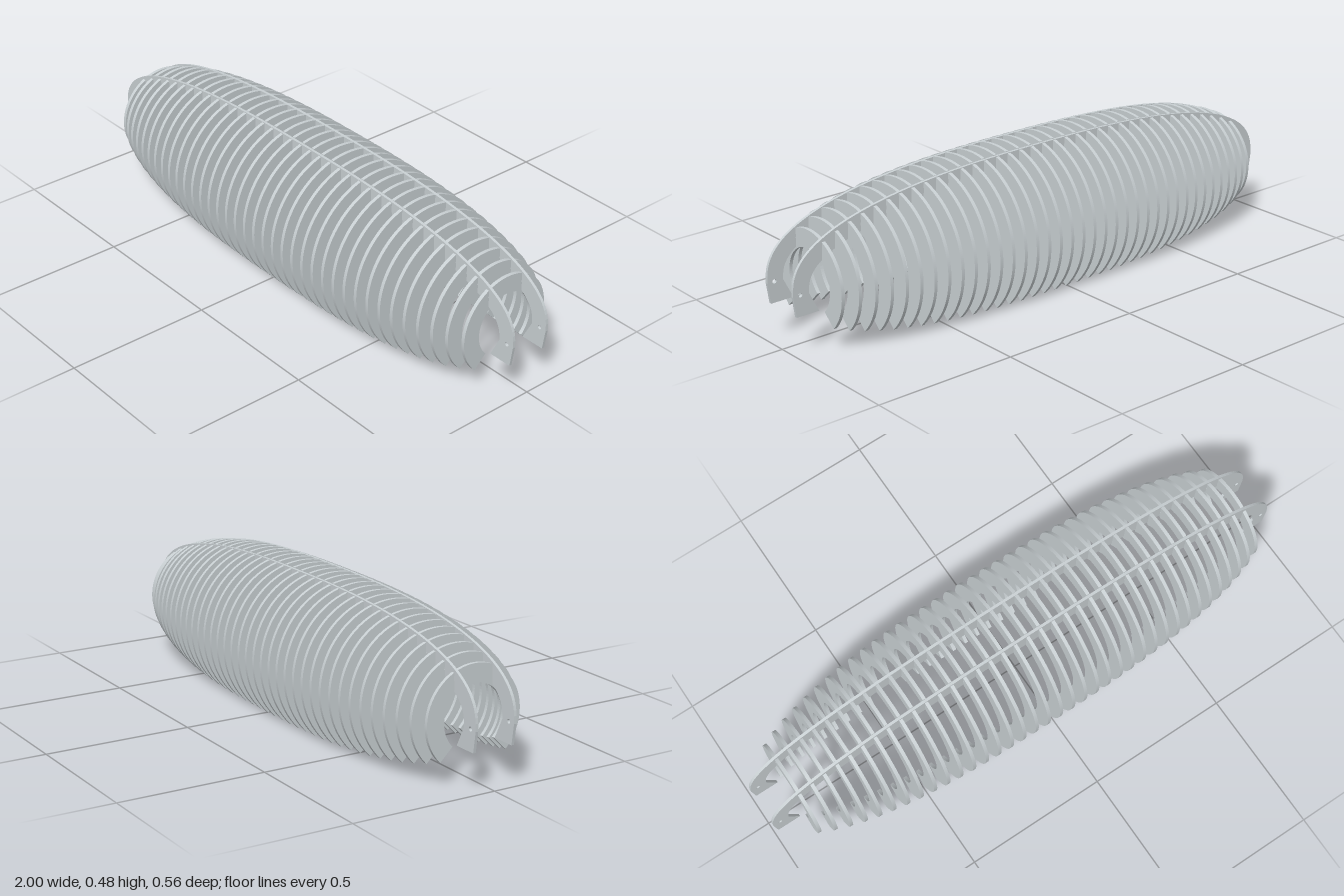
import * as THREE from 'three';

const AXIS_Y = 0.198;   // height of the shared rib axis
const POWER = 2.6;      // superellipse exponent of the long profile
const RAIL_THICK = 0.0095;
const RIB_THICK = 0.012;
const RAIL_Z = 0.07;
const SLOT_HALF = 0.0058;
const RIBS = 37;
const RIB_SPAN = 0.883;

// Half-height of a superellipse with half-length a and half-height b
const profile = (x, a, b) => b * Math.pow(Math.max(0, 1 - Math.pow(Math.abs(x) / a, POWER)), 1 / POWER);

// Extrude a flat shape, centred on its own thickness
function sheet(shape, depth, curveSegments) {
  const geo = new THREE.ExtrudeGeometry(shape, { depth, bevelEnabled: false, curveSegments });
  return geo.translate(0, 0, -depth / 2);
}

// Ring with a quarter cut out at the bottom and two slots for the rails on top
function ribGeometry(outer, inner, slotFloor) {
  const start = -Math.PI / 4, end = Math.PI * 1.25;
  const shape = new THREE.Shape();
  let angle = start;
  for (const z of [RAIL_Z, -RAIL_Z]) {
    shape.absarc(0, 0, outer, angle, Math.acos((z + SLOT_HALF) / outer), false);
    shape.lineTo(z + SLOT_HALF, slotFloor);
    shape.lineTo(z - SLOT_HALF, slotFloor);
    angle = Math.acos((z - SLOT_HALF) / outer);
  }
  shape.absarc(0, 0, outer, angle, end, false);
  shape.absarc(0, 0, inner, end, start, true);
  return sheet(shape, RIB_THICK, 40).rotateY(Math.PI / 2);
}

// Points along an arch from +x to -x, reaching a little below the axis at both ends
function archPoints(a, b, drop, footX) {
  const points = [[footX, -drop]];
  const n = 72;
  for (let i = 0; i <= n; i++) {
    const t = (i / n) * Math.PI;
    const c = Math.cos(t);
    const x = a * Math.sign(c) * Math.pow(Math.abs(c), 2 / POWER);
    points.push([x, b * Math.pow(Math.abs(Math.sin(t)), 2 / POWER)]);
  }
  points.push([-footX, -drop]);
  return points.map(([x, y]) => new THREE.Vector2(x, y));
}

// Long arched rail with a pin hole in each end
function railGeometry() {
  const outer = archPoints(1, 0.271, 0.069, 0.99);
  const inner = archPoints(0.942, 0.203, 0.069, 0.907).reverse();
  const shape = new THREE.Shape([...outer, ...inner]);
  for (const side of [-1, 1]) {
    const hole = new THREE.Path();
    hole.absarc(side * 0.974, 0.002, 0.0075, 0, Math.PI * 2, true);
    shape.holes.push(hole);
  }
  return sheet(shape, RAIL_THICK, 16);
}

export function createModel() {
  const group = new THREE.Group();
  group.name = 'ribbedShell';
  const metal = new THREE.MeshStandardMaterial({ color: 0xc9d0d3 });
  metal.name = 'paleGrey';

  // Ribs, largest in the middle, following an outer and an inner shell
  const ribs = new THREE.Group();
  ribs.name = 'ribs';
  for (let i = 0; i < RIBS; i++) {
    const x = -RIB_SPAN + (2 * RIB_SPAN * i) / (RIBS - 1);
    const slotFloor = (profile(x, 1, 0.271) + profile(x, 0.942, 0.203)) / 2 - 0.005;
    const rib = new THREE.Mesh(ribGeometry(profile(x, 1, 0.28), profile(x, 0.95, 0.214), slotFloor), metal);
    rib.name = 'rib';
    rib.position.set(x, AXIS_Y, 0);
    ribs.add(rib);
  }
  group.add(ribs);

  // Pair of rails threading the ribs
  const railShape = railGeometry();
  for (const z of [-RAIL_Z, RAIL_Z]) {
    const rail = new THREE.Mesh(railShape, metal);
    rail.name = z > 0 ? 'frontRail' : 'backRail';
    rail.position.set(0, AXIS_Y, z);
    group.add(rail);
  }
  return group;
}
